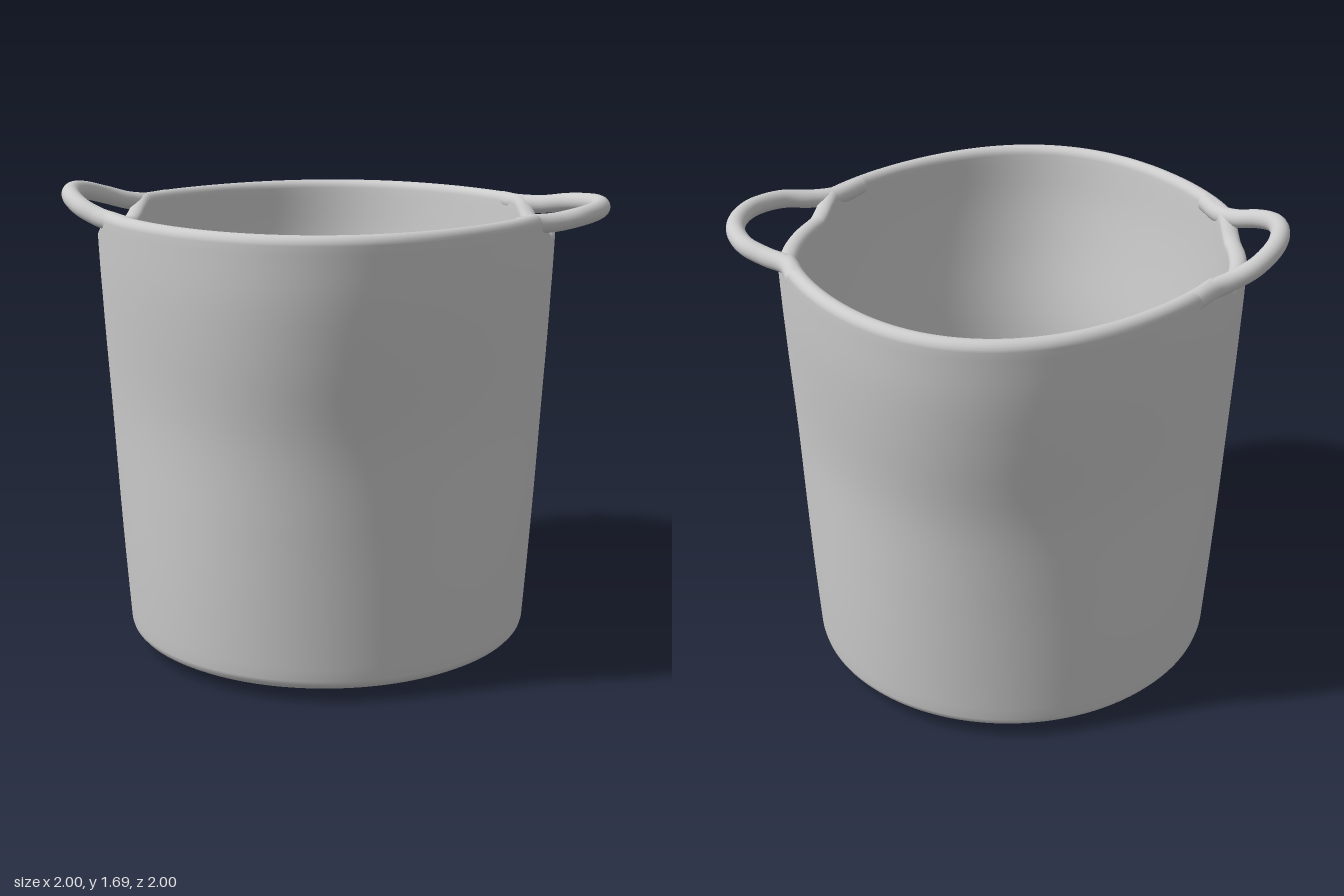
import * as THREE from 'three';

const SEG = 192;          // segments around the tub
const CX = -0.03;         // tub axis offset in x
const ZC = -0.015;        // middle of the handles in z
const WALL = 0.064;       // wall thickness
const RIM = 1.615;        // rim height
const V = (x, y, z) => new THREE.Vector3(x, y, z);

// Outer wall, bottom to top: x holds the half width, z the half depth
const wall = new THREE.CatmullRomCurve3([
  V(0.742, 0.08, 0.815), V(0.762, 0.35, 0.837), V(0.779, 0.6, 0.858), V(0.797, 0.9, 0.89),
  V(0.815, 1.2, 0.952), V(0.824, 1.4, 0.985), V(0.83, 1.583, 1.0),
]);

// Point on an oval that grows slightly lemon-shaped towards the top
function ringPoint(t, hx, y, hz) {
  const k = 0.04 * THREE.MathUtils.smoothstep(y, 0.1, 1.2);
  const f = 1 - k * Math.sin(2 * t) ** 2;
  return V(CX + hx * Math.cos(t) * f, y, hz * Math.sin(t) * f);
}

// Rim height at depth z: dips below each handle to leave the grip slot
function rimHeight(z) {
  return RIM - 0.077 * (1 - THREE.MathUtils.smoothstep(Math.abs(z - ZC), 0.22, 0.345));
}

function tubGeometry() {
  const rows = [];
  // Underside, domed up to the rounded lower edge
  for (const [s, y] of [[0, 0], [0.35, 0], [0.62, 0.001], [0.72, 0.005], [0.82, 0.013], [0.9, 0.026],
    [0.95, 0.04], [0.98, 0.053], [0.994, 0.065]]) rows.push(V(0.742 * s, y, 0.815 * s));
  // Outside wall
  const outer = wall.getPoints(36);
  rows.push(...outer);
  // Rolled rim
  const r = WALL / 2;
  for (let i = 1; i < 10; i++) {
    const a = Math.PI * i / 10, inset = r - r * Math.cos(a);
    rows.push(V(0.83 - inset, 1.583 + r * Math.sin(a), 1 - inset));
  }
  // Inside wall, down to a small fillet and the floor
  for (const p of outer.slice(1).reverse()) rows.push(V(p.x - WALL, p.y, p.z - WALL));
  for (const [d, y] of [[0.002, 0.078], [0.007, 0.067], [0.018, 0.061], [0.04, 0.06], [0.3, 0.06]])
    rows.push(V(0.676 - d, y, 0.751 - d));
  rows.push(V(0, 0.06, 0));

  const pos = [], idx = [];
  rows.forEach((row, j) => {
    for (let i = 0; i < SEG; i++) {
      const t = i / SEG * Math.PI * 2;
      const p = ringPoint(t, row.x, row.y, row.z);
      if (p.y > 1.3) {
        const top = rimHeight(ringPoint(t, 0.8, 1.6, 0.97).z);
        p.y = 1.3 + (p.y - 1.3) * (top - 1.3) / (RIM - 1.3);
      }
      pos.push(p.x, p.y, p.z);
      if (j === 0) continue;
      const n = (i + 1) % SEG, a = (j - 1) * SEG, b = j * SEG;
      idx.push(a + i, b + i, b + n, a + i, b + n, a + n);
    }
  });
  const g = new THREE.BufferGeometry();
  g.setAttribute('position', new THREE.Float32BufferAttribute(pos, 3));
  g.setIndex(idx);
  g.computeVertexNormals();
  return g;
}

// Loop handle that leaves the rim, bows outward and returns; half = [x, y, z] points up to the middle
function handleGeometry(side, half) {
  const ends = [0.54, 0.39].map((t) => {
    const p = ringPoint(t, 0.83 - WALL / 2, 1.58, 1 - WALL / 2);
    return V(CX + side * (p.x - CX), 1.581, p.z);
  });
  const first = [...ends, ...half.map(([x, y, z]) => V(x * side, y, z))];
  const second = first.slice(0, -1).reverse().map((p) => V(p.x, p.y, -p.z));
  const path = [...first, ...second].map((p) => V(p.x, p.y, p.z + ZC));
  return new THREE.TubeGeometry(new THREE.CatmullRomCurve3(path), 96, 0.034, 20);
}

export function createModel() {
  const group = new THREE.Group();
  const material = new THREE.MeshStandardMaterial({ color: 0xcccccc });
  const add = (name, geometry) => {
    const mesh = new THREE.Mesh(geometry, material);
    mesh.name = name;
    group.add(mesh);
  };
  add('tub', tubGeometry());
  add('leftHandle', handleGeometry(1,
    [[0.78, 1.583, 0.305], [0.87, 1.597, 0.25], [0.942, 1.607, 0.135], [0.965, 1.61, 0]]));
  // The right handle is bent further up
  add('rightHandle', handleGeometry(-1,
    [[0.81, 1.59, 0.305], [0.885, 1.617, 0.24], [0.945, 1.645, 0.13], [0.965, 1.655, 0]]));
  return group;
}
